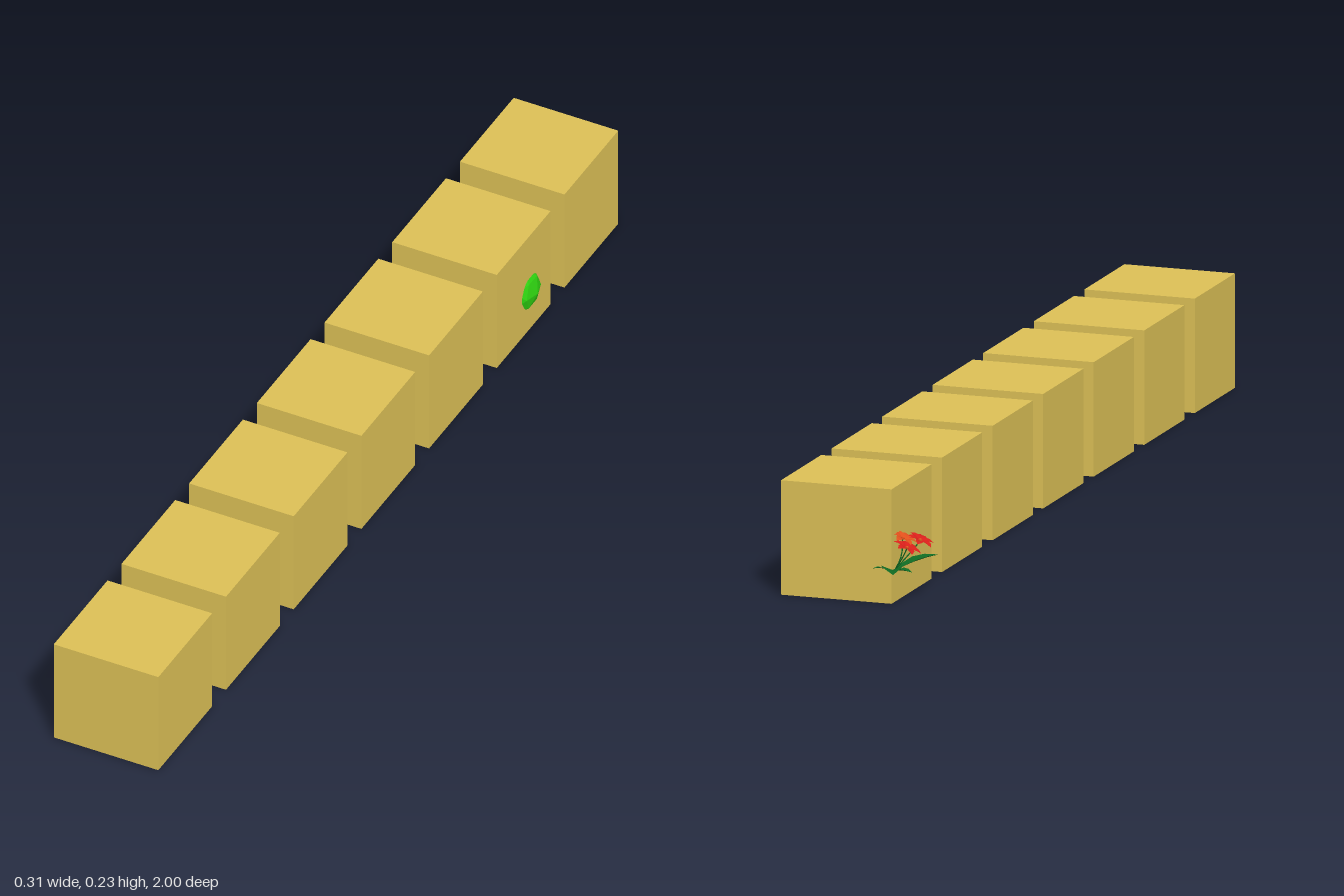
import * as THREE from 'three';

const V = (x, y, z) => new THREE.Vector3(x, y, z);
const mat = (color, extra = {}) => new THREE.MeshStandardMaterial({ color, flatShading: true, ...extra });

// Folded blade (leaf or petal) swept along a curve, widest part way along it.
function blade(root, mid, tip, width, fold = 0.2) {
  const curve = new THREE.QuadraticBezierCurve3(root, mid, tip);
  const profile = [0.15, 0.65, 1, 0.75, 0];
  const points = [], index = [];
  profile.forEach((w, i) => {
    const t = i / (profile.length - 1);
    const p = curve.getPoint(t);
    const side = curve.getTangent(t).cross(V(0, 1, 0)).normalize();
    for (const s of [-1, 0, 1]) {
      const q = p.clone().addScaledVector(side, s * w * width / 2);
      q.y += Math.abs(s) * w * width * fold;
      points.push(q);
    }
    if (i > 0) for (const k of [0, 1]) {
      const a = (i - 1) * 3 + k, b = a + 3;
      index.push(a, a + 1, b, a + 1, b + 1, b);
    }
  });
  const geo = new THREE.BufferGeometry().setFromPoints(points);
  geo.setIndex(index);
  geo.computeVertexNormals();
  return geo;
}

export function createModel() {
  const root = new THREE.Group();
  const yellow = mat(0xdcc056);
  const bushGreen = mat(0x2ed010);
  const leafGreen = mat(0x0f6a22, { side: THREE.DoubleSide });
  const red = mat(0xd8201a, { side: THREE.DoubleSide });
  const orange = mat(0xe0501c, { side: THREE.DoubleSide });

  const add = (parent, name, geo, material) => {
    const mesh = new THREE.Mesh(geo, material);
    mesh.name = name;
    parent.add(mesh);
    return mesh;
  };

  // Row of seven equal blocks
  const size = 0.229, pitch = 0.2883;
  for (let i = 0; i < 7; i++) {
    add(root, `block${i + 1}`, new THREE.BoxGeometry(size, size, size), yellow)
      .position.set(0.0265, size / 2, 0.8855 - i * pitch);
  }

  // Faceted bush bulging out of the left face of the sixth block
  const bush = add(root, 'bush', new THREE.IcosahedronGeometry(0.057, 1), bushGreen);
  bush.position.set(0.1, 0.09, -0.585);

  // Flowering plant growing out of the rear block
  const plant = new THREE.Group();
  plant.name = 'floweringPlant';
  root.add(plant);
  const base = V(-0.082, 0.058, -0.935);

  // Leaves: middle point, tip, width
  const leaves = [
    [V(-0.115, 0.08, -0.91), V(-0.157, 0.087, -0.88), 0.032],
    [V(-0.092, 0.078, -0.97), V(-0.106, 0.068, -1.0), 0.046],
    [V(-0.075, 0.075, -0.965), V(-0.052, 0.07, -0.968), 0.014],
    [V(-0.1, 0.07, -0.95), V(-0.13, 0.065, -0.955), 0.02],
    [V(-0.06, 0.08, -0.92), V(-0.04, 0.075, -0.89), 0.03],
  ];
  for (const [mid, tip, width] of leaves) add(plant, 'leaf', blade(base, mid, tip, width), leafGreen);

  // Flowers: centre, turn of the petals, colour
  const flowers = [
    [V(-0.116, 0.11, -0.95), 0.2, red],
    [V(-0.125, 0.115, -0.9), 0.7, red],
    [V(-0.1, 0.124, -0.93), 0.45, orange],
  ];
  for (const [centre, turn, material] of flowers) {
    const mid = V(base.x - 0.022, 0.085, (base.z + centre.z) / 2);
    const stem = new THREE.QuadraticBezierCurve3(base, mid, centre);
    add(plant, 'stem', new THREE.TubeGeometry(stem, 6, 0.0013, 5), leafGreen);

    const flower = new THREE.Group();
    flower.name = 'flower';
    flower.position.copy(centre);
    flower.rotation.z = 0.4;
    plant.add(flower);
    for (let i = 0; i < 6; i++) {
      const petal = add(flower, 'petal',
        blade(V(0.001, 0, 0), V(0.014, 0.009, 0), V(0.03, 0.003, 0), 0.017, 0.12), material);
      petal.rotation.y = turn + i * Math.PI / 3;
    }
    add(flower, 'flowerCentre', new THREE.IcosahedronGeometry(0.004, 0), orange).position.y = 0.003;
  }
  return root;
}
